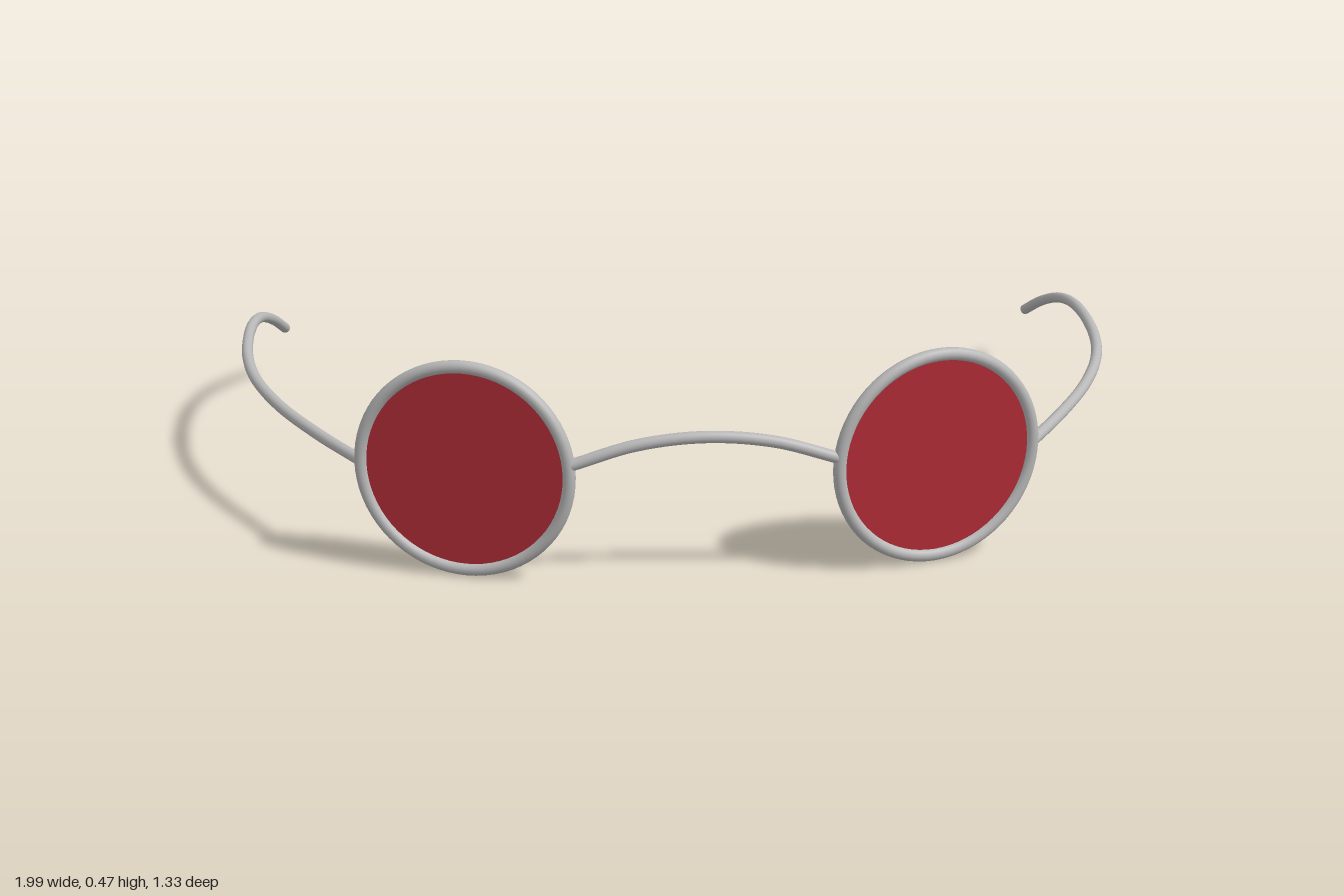
import * as THREE from 'three';

const metal = new THREE.MeshStandardMaterial({ color: 0xb8b8b8 });
metal.name = 'silver metal';
const glass = new THREE.MeshStandardMaterial({ color: 0xb02c36 });
glass.name = 'red glass';

const WIRE = 0.0125, TILT = 0.295, RIM = 0.2215, RIM_TUBE = 0.0135;

function mesh(name, geometry, material) {
  const m = new THREE.Mesh(geometry, material);
  m.name = name;
  return m;
}

// Round wire through the given points, closed with flat discs at both ends
function wire(name, points, segments) {
  const group = new THREE.Group();
  group.name = name;
  const curve = new THREE.CatmullRomCurve3(points.map(p => new THREE.Vector3(...p)), false, 'centripetal');
  group.add(mesh(name + 'Wire', new THREE.TubeGeometry(curve, segments, WIRE, 16), metal));
  for (const t of [0, 1]) {
    const cap = mesh(name + 'Cap', new THREE.CircleGeometry(WIRE, 16), metal);
    const out = curve.getTangent(t).multiplyScalar(t ? 1 : -1);
    cap.position.copy(curve.getPoint(t));
    cap.quaternion.setFromUnitVectors(new THREE.Vector3(0, 0, 1), out);
    group.add(cap);
  }
  return group;
}

export function createModel() {
  const model = new THREE.Group();
  model.name = 'roundGlasses';

  for (const [side, s] of [['left', 1], ['right', -1]]) {
    // Round rim and tinted lens, angled back around the face
    const eye = new THREE.Group();
    eye.name = side + 'Eyepiece';
    eye.position.set(s * 0.488, 0.235, 0.578);
    eye.rotation.y = s * TILT;
    eye.add(mesh(side + 'Rim', new THREE.TorusGeometry(RIM, RIM_TUBE, 16, 72), metal));
    const lens = mesh(side + 'Lens', new THREE.CylinderGeometry(RIM, RIM, 0.006, 72), glass);
    lens.rotation.x = Math.PI / 2;
    eye.add(lens);
    model.add(eye);

    // Temple arm, bowed outward and hooked down behind the ear
    model.add(wire(side + 'Temple', [
      [0.702, 0.237, 0.512], [0.79, 0.239, 0.37], [0.883, 0.244, 0.2], [0.945, 0.249, 0.04],
      [0.974, 0.253, -0.1], [0.983, 0.256, -0.25], [0.979, 0.25, -0.37], [0.968, 0.229, -0.47],
      [0.949, 0.188, -0.57], [0.93, 0.137, -0.66],
    ].map(([x, y, z]) => [s * x, y, z]), 72));
  }

  // Arched nose bridge
  model.add(wire('bridge', [
    [-0.272, 0.262, 0.642], [-0.14, 0.303, 0.647], [0, 0.318, 0.65], [0.14, 0.303, 0.647], [0.272, 0.262, 0.642],
  ], 40));

  return model;
}
